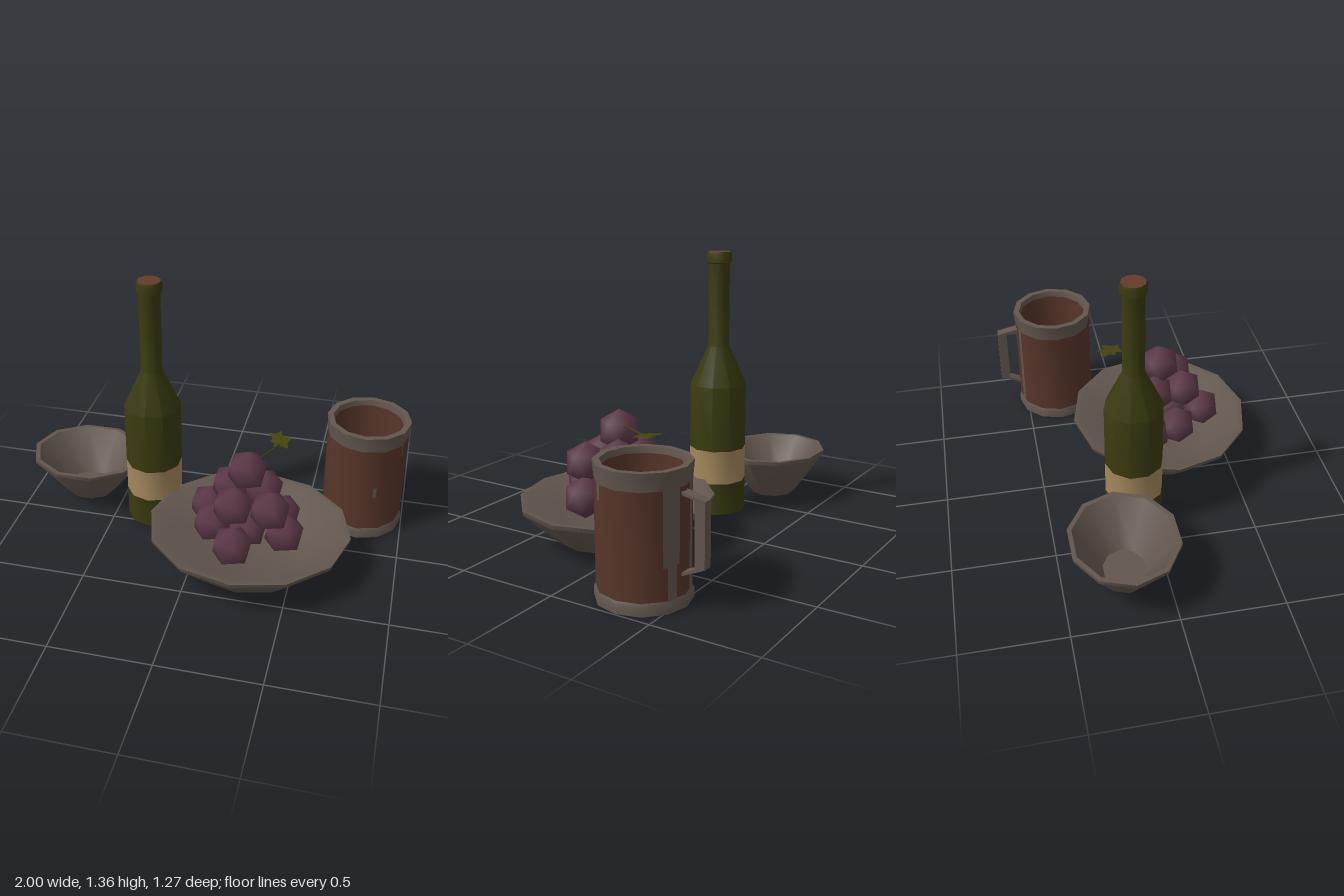
import * as THREE from 'three';
import { mergeVertices, toCreasedNormals } from 'three/addons/utils/BufferGeometryUtils.js';

const material = (name, color, side = THREE.FrontSide) => {
  const m = new THREE.MeshStandardMaterial({ color, side });
  m.name = name;
  return m;
};

export function createModel() {
  const model = new THREE.Group();
  const stone = material('warm grey', 0x62564e);
  const wood = material('brown wood', 0x57352a);
  const glass = material('olive glass', 0x3a3a10);
  const paper = material('tan label', 0xa5885e);
  const cork = material('cork', 0x633c2c);
  const skin = material('grape purple', 0x5c3848);
  const leafGreen = material('leaf green', 0x46430f, THREE.DoubleSide);

  const group = (name, x, y, z) => {
    const g = new THREE.Group();
    g.name = name;
    g.position.set(x, y, z);
    model.add(g);
    return g;
  };
  const add = (parent, name, geometry, mat) => {
    const mesh = new THREE.Mesh(geometry, mat);
    mesh.name = name;
    parent.add(mesh);
    return mesh;
  };
  // Turned part: profile runs up the outside, then down the inside
  const turned = (profile, sides, start = 0) => toCreasedNormals(
    new THREE.LatheGeometry(profile.map(p => new THREE.Vector2(...p)), sides, start), 0.72);

  // Small bowl, slightly oval
  const bowl = group('smallBowl', -0.695, 0.025, -0.2);
  add(bowl, 'bowlShell', turned([
    [0, 0], [0.13, 0], [0.303, 0.22], [0.305, 0.24], [0.28, 0.24], [0.12, 0.03], [0, 0.03],
  ], 10, Math.PI / 2), stone);
  bowl.scale.z = 0.87;

  // Wide dish
  const dish = group('fruitDish', 0.267, 0.025, 0.17);
  add(dish, 'dishShell', turned([
    [0, 0], [0.33, 0], [0.5, 0.16], [0.505, 0.183], [0.475, 0.183], [0.33, 0.095], [0, 0.085],
  ], 12), stone);
  dish.scale.z = 0.92;

  // Bottle, in colour bands
  const bottle = group('bottle', -0.287, 0, -0.075);
  add(bottle, 'bottleBase', turned([[0, 0.025], [0.143, 0.025], [0.143, 0.188]], 10), glass);
  add(bottle, 'bottleLabel', turned([[0.143, 0.188], [0.143, 0.36]], 10), paper);
  add(bottle, 'bottleTop', turned([
    [0.143, 0.36], [0.143, 0.69], [0.053, 0.885], [0.053, 1.3],
    [0.063, 1.305], [0.063, 1.345], [0.058, 1.358],
  ], 10), glass);
  add(bottle, 'cork', turned([[0.058, 1.358], [0, 1.358]], 10), cork);

  // Mug
  const mug = group('mug', 0.782, 0, -0.33);
  const R = 0.206;
  add(mug, 'mugFoot', turned([[0, 0], [0.213, 0], [0.213, 0.042], [R, 0.055]], 12), stone);
  add(mug, 'mugBody', turned([[R, 0.055], [R, 0.525]], 12), wood);
  add(mug, 'mugRim', turned([
    [R, 0.525], [0.213, 0.605], [0.183, 0.605], [0.178, 0.575],
  ], 12), stone);
  add(mug, 'mugInside', turned([[0.178, 0.575], [0.172, 0.06], [0, 0.06]], 12), wood);

  // Worn patches that follow the twelve-sided wall
  const patch = (fromDeg, toDeg, low, high) => {
    const rad = Math.PI / 180;
    const geo = new THREE.LatheGeometry(
      [new THREE.Vector2(R, low), new THREE.Vector2(R, high)], 8, fromDeg * rad, (toDeg - fromDeg) * rad);
    const p = geo.attributes.position;
    for (let i = 0; i < p.count; i++) {
      const a = (Math.atan2(p.getX(i), p.getZ(i)) / rad + 360) % 30 - 15;
      const k = Math.cos(15 * rad) / Math.cos(a * rad) + 0.012;
      p.setXYZ(i, p.getX(i) * k, p.getY(i), p.getZ(i) * k);
    }
    add(mug, 'wornPatch', geo, stone);
  };
  patch(146, 170, 0.2, 0.53);
  patch(152, 166, 0.05, 0.2);
  patch(194, 204, 0.05, 0.53);
  patch(18, 23, 0.25, 0.31);
  patch(60, 64, 0.46, 0.53);

  // Angular handle at the back
  const strap = new THREE.Shape([
    [0.19, 0.507], [0.31, 0.48], [0.31, 0.19], [0.19, 0.137],
    [0.19, 0.152], [0.262, 0.184], [0.262, 0.478], [0.19, 0.492],
  ].map(p => new THREE.Vector2(...p)));
  const handleGeo = new THREE.ExtrudeGeometry(strap, { depth: 0.048, bevelEnabled: false });
  handleGeo.translate(0, 0, -0.024).rotateY(Math.PI / 2);
  add(mug, 'mugHandle', handleGeo, stone);

  // Grapes: upright twenty-sided balls with smooth normals
  const grapes = group('grapeBunch', 0, 0, 0);
  let ball = new THREE.IcosahedronGeometry(0.106, 0);
  ball.deleteAttribute('uv');
  ball.deleteAttribute('normal');
  ball = mergeVertices(ball, 1e-4);
  ball.rotateZ(-Math.atan(2 / (1 + Math.sqrt(5))));
  ball.computeVertexNormals();
  [
    [0.045, 0.235, 0.075], [0.23, 0.235, 0.07], [0.41, 0.235, 0.075],
    [0.095, 0.235, 0.225], [0.27, 0.235, 0.225], [0.45, 0.235, 0.23], [0.225, 0.235, 0.387],
    [0.165, 0.405, 0.12], [0.325, 0.405, 0.12], [0.205, 0.39, 0.28], [0.385, 0.385, 0.27],
    [0.25, 0.53, 0.167],
  ].forEach(p => add(grapes, 'grape', ball, skin).position.set(...p));

  // Stem and lobed leaf
  const stemPath = new THREE.CatmullRomCurve3([
    new THREE.Vector3(0.27, 0.56, 0.14), new THREE.Vector3(0.325, 0.575, 0.07),
    new THREE.Vector3(0.37, 0.568, -0.04),
  ]);
  add(grapes, 'stem', new THREE.TubeGeometry(stemPath, 6, 0.004, 5), leafGreen);
  const leafShape = new THREE.Shape([
    [0.37, -0.03], [0.345, 0], [0.345, -0.045], [0.32, -0.06], [0.33, -0.085], [0.298, -0.13],
    [0.335, -0.123], [0.36, -0.148], [0.375, -0.11], [0.425, -0.11], [0.405, -0.065], [0.418, -0.02],
  ].map(p => new THREE.Vector2(...p)));
  const leafGeo = new THREE.ShapeGeometry(leafShape).rotateX(Math.PI / 2);
  const lp = leafGeo.attributes.position;
  for (let i = 0; i < lp.count; i++) {
    lp.setY(i, 0.563 - lp.getZ(i) * 0.1 - Math.abs(lp.getX(i) - 0.365) * 0.12);
  }
  leafGeo.computeVertexNormals();
  add(grapes, 'leaf', leafGeo, leafGreen);

  return model;
}
